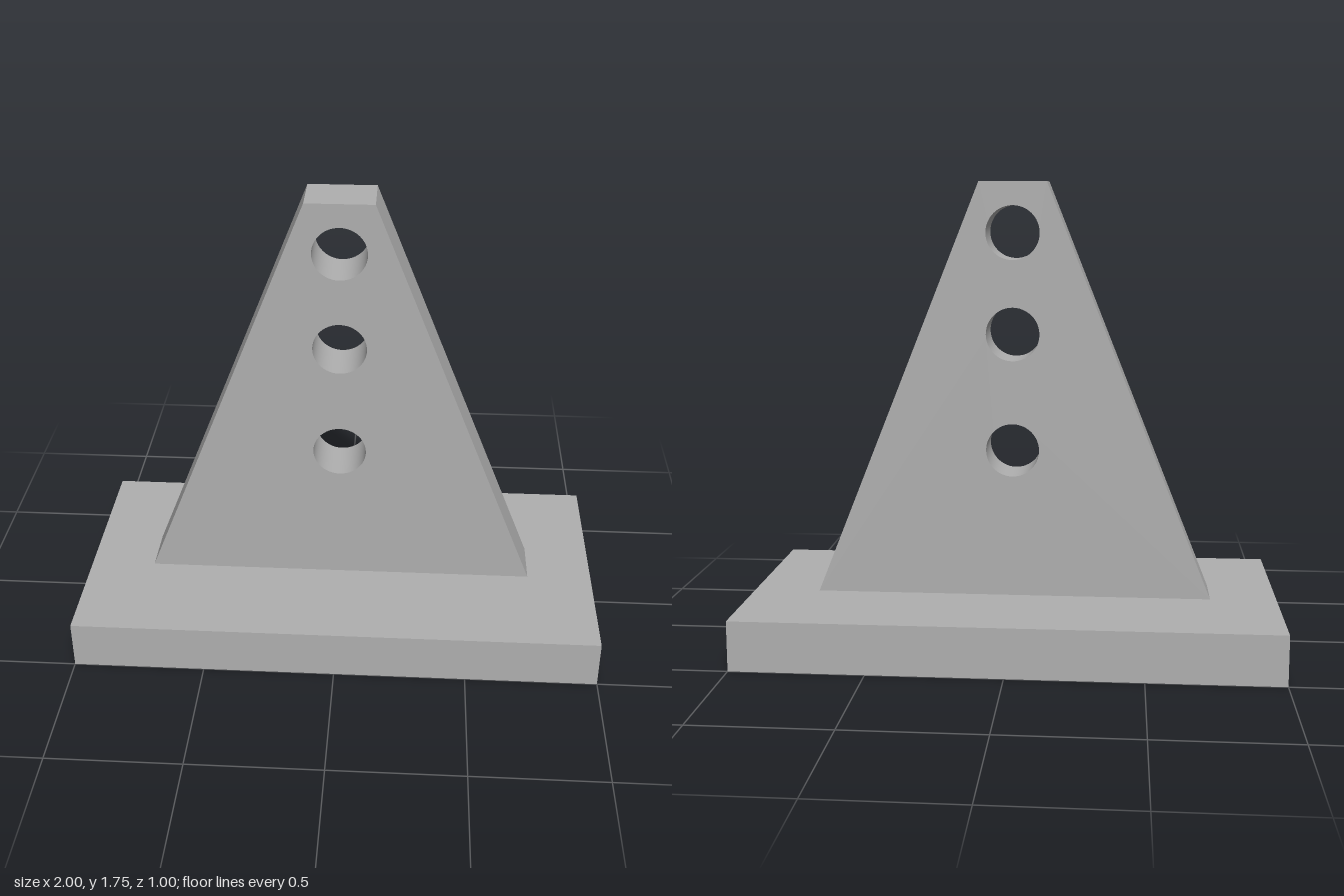
import * as THREE from 'three';
import { toCreasedNormals } from 'three/addons/utils/BufferGeometryUtils.js';

const BASE_H = 0.1875, TOP = 1.75, THICK = 0.1875;

export function createModel() {
  const model = new THREE.Group();
  model.name = 'bracket';
  const grey = new THREE.MeshStandardMaterial({ color: 0xb0b0b0 });
  grey.name = 'plain grey';

  // Flat rectangular foot
  const base = new THREE.Mesh(new THREE.BoxGeometry(2, BASE_H, 1), grey);
  base.name = 'basePlate';
  base.position.y = BASE_H / 2;
  model.add(base);

  // Tapered upright with three round through-holes
  const outline = new THREE.Shape([
    new THREE.Vector2(-0.75, BASE_H),
    new THREE.Vector2(0.75, BASE_H),
    new THREE.Vector2(0.125, TOP),
    new THREE.Vector2(-0.125, TOP),
  ]);
  for (const y of [0.75, 1.1875, 1.5625]) {
    outline.holes.push(new THREE.Path().absarc(0, y, 0.1, 0, Math.PI * 2, true));
  }
  const plate = new THREE.ExtrudeGeometry(outline, { depth: THICK, bevelEnabled: false, curveSegments: 24 });
  plate.translate(0, 0, -THICK / 2);
  const upright = new THREE.Mesh(toCreasedNormals(plate, 0.5), grey);
  upright.name = 'uprightPlate';
  model.add(upright);

  return model;
}
